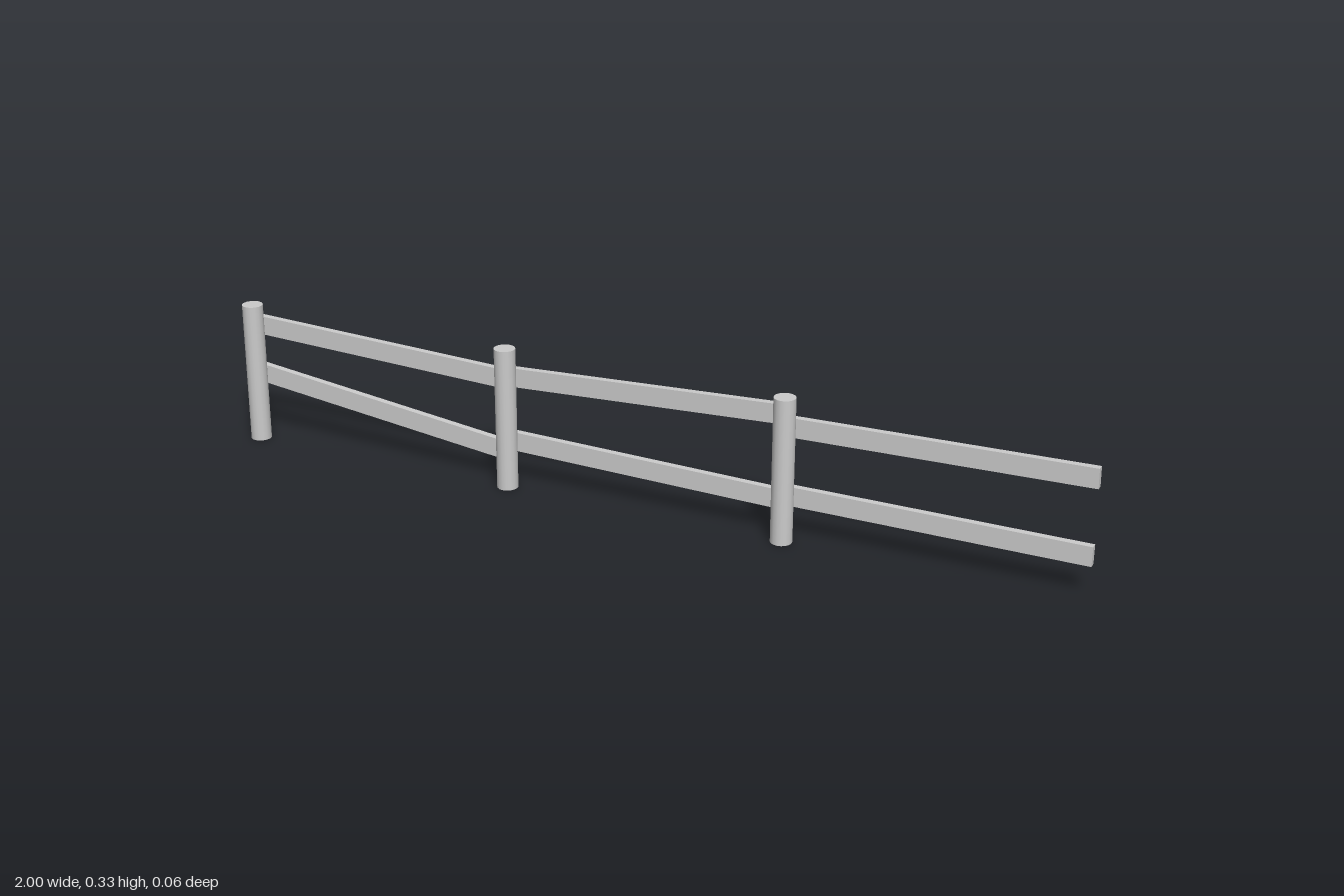
import * as THREE from 'three';

const POST_RADIUS = 0.024;
const POST_HEIGHT = 0.33;
const RAIL_HEIGHT = 0.044;
const RAIL_DEPTH = 0.0155;

export function createModel() {
  const fence = new THREE.Group();
  fence.name = 'fence';
  const material = new THREE.MeshStandardMaterial({ color: 0xcccccc });

  // Joints along the fence: three posts and the open end
  const joints = [-0.976, -0.317, 0.342, 1];

  // Round posts
  const postGeometry = new THREE.CylinderGeometry(POST_RADIUS, POST_RADIUS, POST_HEIGHT, 16);
  joints.slice(0, 3).forEach((x, i) => {
    const post = new THREE.Mesh(postGeometry, material);
    post.name = `post${i + 1}`;
    post.position.set(x, POST_HEIGHT / 2, 0.008);
    fence.add(post);
  });

  // Crooked rails nailed behind the posts: centre height at each end of a span
  const rails = {
    upperRail: [[0.272, 0.245], [0.253, 0.28], [0.253, 0.262]],
    lowerRail: [[0.153, 0.072], [0.101, 0.084], [0.096, 0.091]],
  };
  for (const [name, spans] of Object.entries(rails)) {
    spans.forEach(([y0, y1], i) => {
      const dx = joints[i + 1] - joints[i];
      const dy = y1 - y0;
      const geometry = new THREE.BoxGeometry(Math.hypot(dx, dy), RAIL_HEIGHT, RAIL_DEPTH);
      const rail = new THREE.Mesh(geometry, material);
      rail.name = `${name}${i + 1}`;
      rail.position.set(joints[i] + dx / 2, (y0 + y1) / 2, -0.0238);
      rail.rotation.z = Math.atan2(dy, dx);
      fence.add(rail);
    });
  }
  return fence;
}
